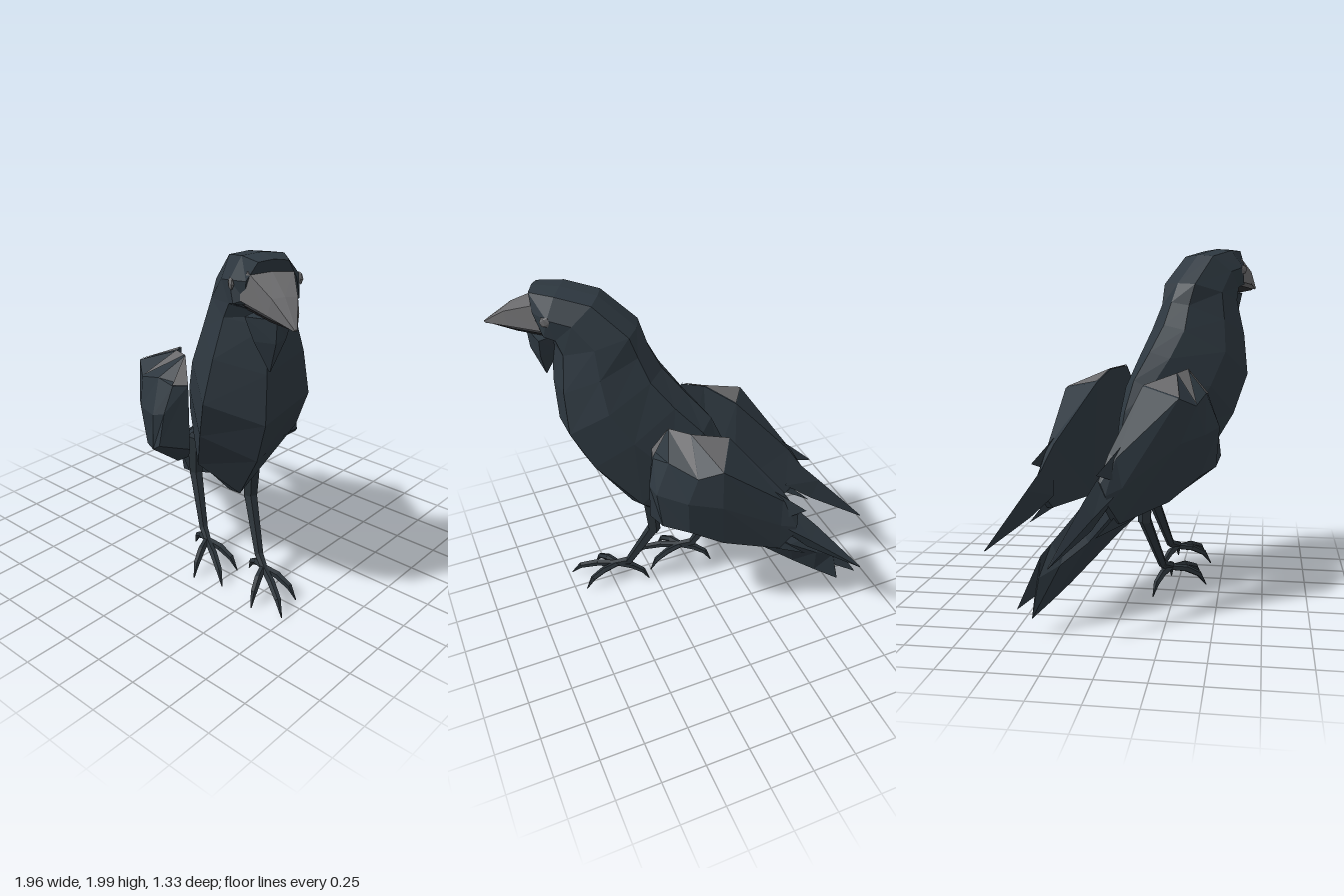
import * as THREE from 'three';

const mat = (name, color, extra = {}) =>
  Object.assign(new THREE.MeshStandardMaterial({ color, flatShading: true, ...extra }), { name });

// Flat-shaded geometry from a list of corner triples
function fromTriangles(tris) {
  const g = new THREE.BufferGeometry();
  g.setAttribute('position', new THREE.Float32BufferAttribute(tris.flat(2), 3));
  g.computeVertexNormals();
  return g;
}

// Closed skin over rings of points; winding is turned outward by signed volume
function loft(rings) {
  const tris = [];
  const n = rings[0].length;
  for (let k = 0; k < rings.length - 1; k++) {
    const r = rings[k], s = rings[k + 1];
    for (let i = 0; i < n; i++) {
      const j = (i + 1) % n;
      tris.push([r[i], r[j], s[j]], [r[i], s[j], s[i]]);
    }
  }
  const first = rings[0], last = rings[rings.length - 1];
  for (let i = 1; i < n - 1; i++) {
    tris.push([first[0], first[i + 1], first[i]], [last[0], last[i], last[i + 1]]);
  }
  const v = tris.map((t) => t.map((p) => new THREE.Vector3(...p)));
  const volume = v.reduce((sum, [a, b, c]) => sum + a.dot(b.clone().cross(c)), 0);
  if (volume < 0) tris.forEach((t) => t.reverse());
  return fromTriangles(tris);
}

// Symmetric ring between a back point and a front point; half = [along, width] pairs
function section([bx, by, fx, fy, w], half) {
  const at = ([t, k], side) => [bx + (fx - bx) * t, by + (fy - by) * t, side * k * w];
  return [...half.map((h) => at(h, 1)), ...half.slice(1, -1).reverse().map((h) => at(h, -1))];
}

export function createModel() {
  const feather = mat('dark feather', 0x2d373f);
  const plate = mat('dark feather plate', 0x2d373f, { side: THREE.DoubleSide });
  const legMat = mat('leg', 0x2a3238);
  const grey = mat('grey highlight', 0x69696b, { side: THREE.DoubleSide });
  const jaw = mat('lower beak', 0x2c2d30);

  const bird = new THREE.Group();
  bird.name = 'bird';
  const add = (name, geometry, material, parent = bird) => {
    const m = new THREE.Mesh(geometry, material);
    m.name = name;
    parent.add(m);
    return m;
  };

  // Body from rump to neck, then head with flat crown: back x, y, front x, y, half width
  const bodyHalf = [[0, 0], [0.07, 0.42], [0.4, 0.95], [0.77, 0.98], [1, 0]];
  const headHalf = [[0, 0], [0.04, 0.6], [0.4, 1], [0.77, 0.95], [1, 0]];
  const bodyRings = [
    [-0.2, 0.85, 0.0, 0.55, 0.07],
    [-0.14, 1.08, 0.22, 0.5, 0.14],
    [-0.06, 1.25, 0.42, 0.58, 0.21],
    [0.08, 1.4, 0.7, 0.91, 0.265],
    [0.21, 1.55, 0.82, 1.16, 0.28],
    [0.28, 1.68, 0.83, 1.43, 0.235],
  ];
  const headRings = [
    [0.34, 1.79, 0.81, 1.66, 0.185],
    [0.54, 1.96, 0.8, 1.71, 0.17],
    [0.74, 2.0, 0.82, 1.72, 0.17],
    [0.89, 2.0, 0.82, 1.75, 0.12],
  ];
  add('bodyAndHead', loft([
    ...bodyRings.map((r) => section(r, bodyHalf)),
    ...headRings.map((r) => section(r, headHalf)),
  ]), feather);

  // Beak
  const beakHalf = [[0, 0], [0.06, 0.8], [0.9, 1], [1, 0]];
  add('upperBeak', loft([
    [0.85, 1.95, 0.8, 1.785, 0.138],
    [1.04, 1.87, 1.02, 1.775, 0.075],
    [1.18, 1.765, 1.17, 1.755, 0.008],
  ].map((r) => section(r, beakHalf))), grey);
  add('lowerBeak', loft([
    [0.76, 1.79, 0.76, 1.725, 0.135],
    [1.0, 1.77, 0.98, 1.732, 0.065],
    [1.14, 1.757, 1.14, 1.75, 0.006],
  ].map((r) => section(r, [[0, 0], [0.1, 1], [0.8, 0.6], [1, 0]]))), jaw);

  // Throat tuft hanging below the beak
  add('throatTuft', loft([
    [0.74, 1.73, 0.95, 1.735, 0.12],
    [0.78, 1.61, 0.94, 1.62, 0.08],
    [0.862, 1.46, 0.868, 1.46, 0.004],
  ].map((r) => section(r, [[0, 0], [0.5, 1], [1, 0]]))), feather);

  // Tail: keeled wedge with a second pointed feather at its end
  add('tail', loft([
    [0.0, 0.95, 0.1, 0.52, 0.12],
    [-0.25, 0.78, -0.19, 0.4, 0.12],
    [-0.55, 0.57, -0.58, 0.21, 0.11],
    [-0.72, 0.46, -0.72, 0.15, 0.06],
    [-0.8, 0.41, -0.868, 0.092, 0.008],
  ].map((r) => section(r, [[0, 0], [0.35, 1], [1, 0]]))), feather);
  add('tailTip', fromTriangles([
    [[-0.8, 0.41, 0], [-0.97, 0.17, 0], [-0.83, 0.21, 0]],
  ]), plate);

  // Right wing rings: from inner top over the outside to inner bottom
  const wingRings = [
    [[0.235, 1.17, 0.235], [0.215, 1.17, 0.315], [0.23, 1.02, 0.37], [0.225, 0.83, 0.4], [0.23, 0.79, 0.23]],
    [[0.142, 1.31, 0.224], [0.12, 1.19, 0.37], [0.18, 1.0, 0.42], [0.15, 0.78, 0.42], [0.12, 0.69, 0.21]],
    [[0.015, 1.295, 0.24], [-0.05, 1.14, 0.425], [0, 0.98, 0.45], [0, 0.75, 0.42], [-0.02, 0.6, 0.24]],
    [[-0.185, 1.24, 0.165], [-0.185, 1.19, 0.41], [-0.185, 0.95, 0.42], [-0.185, 0.63, 0.35], [-0.185, 0.59, 0.2]],
    [[-0.5, 0.92, 0.2], [-0.5, 0.9, 0.25], [-0.5, 0.75, 0.29], [-0.5, 0.56, 0.275], [-0.5, 0.57, 0.21]],
    [[-0.59, 0.79, 0.208], [-0.59, 0.78, 0.222], [-0.59, 0.72, 0.255], [-0.57, 0.66, 0.262], [-0.57, 0.66, 0.22]],
  ];
  // Long main feather and two short flat ones
  const mainFeather = [
    [[-0.5, 0.88, 0.2], [-0.5, 0.74, 0.28], [-0.5, 0.64, 0.2]],
    [[-0.7, 0.7, 0.205], [-0.68, 0.62, 0.252], [-0.66, 0.545, 0.22]],
    [[-0.976, 0.434, 0.228], [-0.975, 0.431, 0.232], [-0.974, 0.428, 0.228]],
  ];
  const shortFeathers = [
    [[-0.44, 0.96, 0.24], [-0.635, 0.83, 0.235], [-0.5, 0.78, 0.27]],
    [[-0.45, 0.64, 0.26], [-0.65, 0.51, 0.24], [-0.4, 0.56, 0.27]],
  ];

  // Tapered bar between two points
  const up = new THREE.Vector3(0, 1, 0);
  const bar = (name, a, b, ra, rb, parent) => {
    const p = new THREE.Vector3(...a), q = new THREE.Vector3(...b);
    const d = q.clone().sub(p);
    const m = add(name, new THREE.CylinderGeometry(rb, ra, d.length(), 5), legMat, parent);
    m.position.copy(p).add(q).multiplyScalar(0.5);
    m.quaternion.setFromUnitVectors(up, d.normalize());
  };

  for (const [side, label] of [[1, 'right'], [-1, 'left']]) {
    const mirror = (lists) => lists.map((pts) => pts.map(([x, y, z]) => [x, y, z * side]));
    const rings = mirror(wingRings);
    add(label + 'Wing', loft(rings), feather);
    add(label + 'MainFeather', loft(mirror(mainFeather)), feather);
    add(label + 'ShortFeathers', fromTriangles(mirror(shortFeathers)), plate);

    // Grey shoulder facets lying just above the wing
    const [a, b, c, d] = rings;
    const facets = [[c[0], d[1], d[0]], [b[0], c[1], c[0]], [b[0], a[0], a[1]]];
    add(label + 'Shoulder', fromTriangles(facets.map(
      (t) => t.map(([x, y, z]) => [x + 0.002, y + 0.005, z + 0.003 * side]))), grey);

    const eye = add(label + 'Eye', new THREE.IcosahedronGeometry(0.032, 0), grey);
    eye.position.set(0.785, 1.875, 0.166 * side);
    eye.scale.z = 0.4;

    // Striding leg: the left one is ahead
    const leg = new THREE.Group();
    leg.name = label + 'Leg';
    leg.position.set(side > 0 ? 0.072 : 0.438, 0, 0.112 * side);
    bird.add(leg);
    bar('thigh', [-0.15, 0.72, 0], [-0.17, 0.46, 0], 0.05, 0.038, leg);
    bar('shin', [-0.17, 0.48, 0], [0, 0.17, 0], 0.038, 0.025, leg);
    bar('ankle', [-0.01, 0.18, 0], [0.09, 0.14, 0], 0.025, 0.02, leg);
    for (const [tx, tz] of [[0.38, 0], [0.25, 0.13], [0.25, -0.13], [-0.12, 0.02]]) {
      const at = (t, y) => [0.07 + (tx - 0.07) * t, y, tz * t];
      bar('toe', at(0, 0.14), at(0.45, 0.125), 0.019, 0.022, leg);
      bar('toe', at(0.42, 0.128), at(0.8, 0.085), 0.022, 0.018, leg);
      bar('claw', at(0.78, 0.09), at(1, 0.015), 0.018, 0.003, leg);
    }
  }

  // The bird stands turned toward its left
  bird.rotation.y = -0.5516;
  bird.position.set(-0.028, 0, 0.046);
  const model = new THREE.Group();
  model.name = 'crow';
  model.add(bird);
  return model;
}
